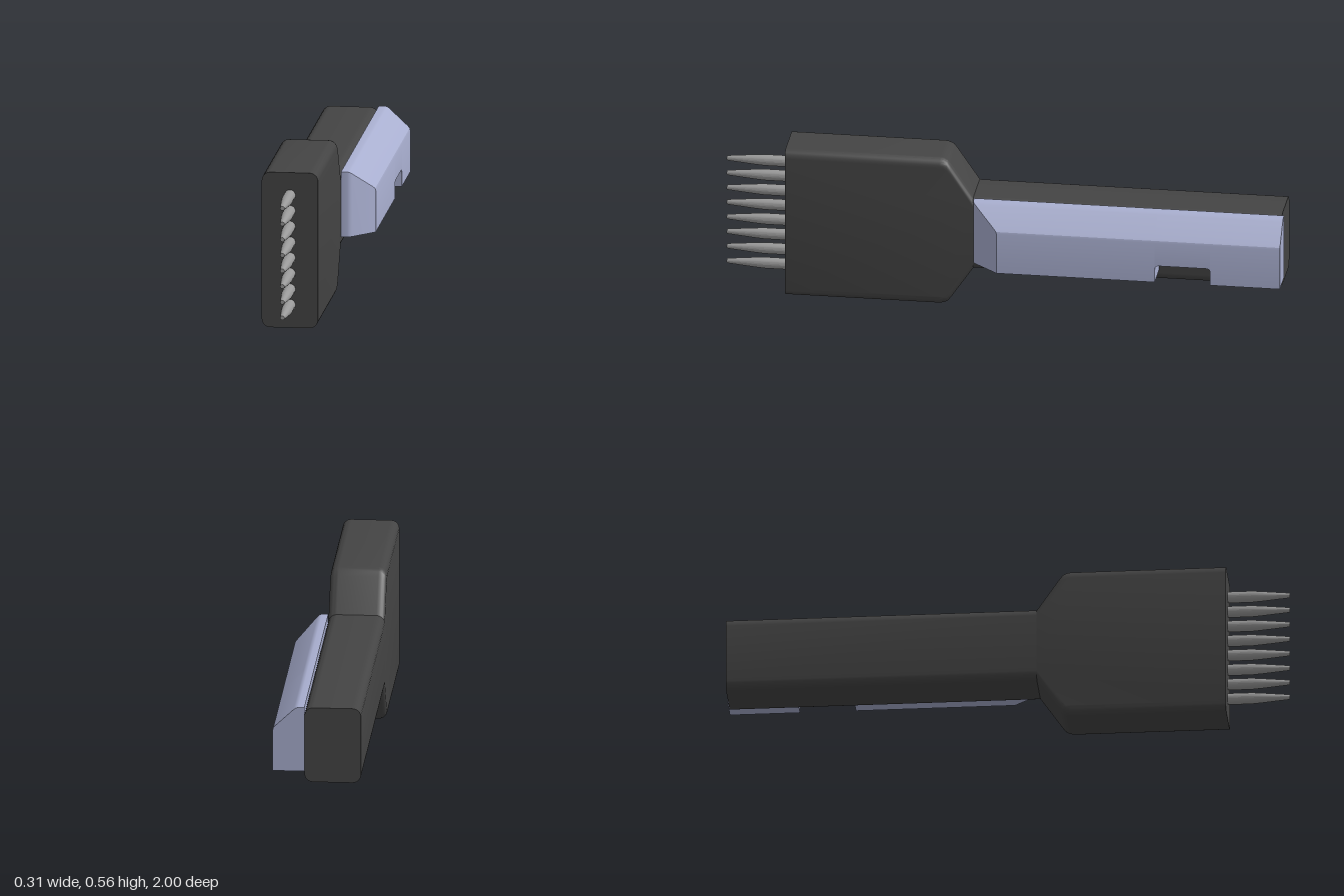
import * as THREE from 'three';
import { ConvexGeometry } from 'three/addons/geometries/ConvexGeometry.js';
import { toCreasedNormals } from 'three/addons/utils/BufferGeometryUtils.js';

const V = (x, y, z) => new THREE.Vector3(x, y, z);

// Convex solid through a set of points, smooth over rounds and sharp at edges
function hull(points) {
  return toCreasedNormals(new ConvexGeometry(points), 0.45);
}

// Rounded rectangle ring of the body at depth z, with half height h
function bodyRing(z, h) {
  const cx = -0.057, cy = 0.28, w = 0.1, r = 0.03, steps = 6, ring = [];
  for (const [sx, sy] of [[1, 1], [-1, 1], [-1, -1], [1, -1]]) {
    for (let i = 0; i <= steps; i++) {
      const a = (i / steps) * Math.PI / 2;
      ring.push(V(cx + sx * (w - r + r * Math.cos(a)), cy + sy * (h - r + r * Math.sin(a)), z));
    }
  }
  return ring;
}

// Top outline of the clip section, from the body outward
const clipTop = [[0.043, 0.42], [0.065, 0.42], [0.073, 0.418], [0.081, 0.412],
  [0.147, 0.35], [0.153, 0.343], [0.155, 0.335]];

// Clip section with its underside at height bottom; zAt gives the depth for each x
function clipRing(bottom, zAt) {
  return clipTop.flatMap(([x, y]) => [V(x, y, zAt(x)), V(x, bottom, zAt(x))]);
}

// Sloped, softly rounded front end of the clip
function clipFront(x) {
  const t = Math.max(0, x - 0.065);
  return 0.105 - (t < 0.017 ? t * t / 0.03 : 0.0085 + (t - 0.016) * 1.17);
}

export function createModel() {
  const model = new THREE.Group();
  const dark = new THREE.MeshStandardMaterial({ color: 0x444444 });
  const blue = new THREE.MeshStandardMaterial({ color: 0xa9afd0 });
  const metal = new THREE.MeshStandardMaterial({ color: 0x999999 });
  const add = (parent, name, geometry, material) => {
    const mesh = new THREE.Mesh(geometry, material);
    mesh.name = name;
    parent.add(mesh);
    return mesh;
  };

  // Wide head tapering into the handle
  const headProfile = [[0.78, 0.28], [0.23, 0.28], [0.215, 0.277], [0.202, 0.27], [0.19, 0.255], [0.11, 0.137]];
  add(model, 'head', hull(headProfile.flatMap(([z, h]) => bodyRing(z, h))), dark);
  add(model, 'handle', hull([...bodyRing(0.11, 0.137), ...bodyRing(-0.99, 0.137)]), dark);

  // Side clip, with a notch in its underside
  const clip = new THREE.Group();
  clip.name = 'sideClip';
  model.add(clip);
  const low = 0.185, notchTop = 0.248, z1 = -0.554, z2 = -0.752, end = -1;
  const segment = (name, bottom, zFront, zBack) =>
    add(clip, name, hull([...clipRing(bottom, zFront), ...clipRing(bottom, () => zBack)]), blue);
  segment('clipFront', low, clipFront, z1);
  segment('clipNotchBridge', notchTop, () => z1, z2);
  segment('clipBack', low, () => z2, end);

  // Rounded inner corners of the notch
  for (const [z, dir] of [[z1, 1], [z2, -1]]) {
    const r = 0.016;
    const s = new THREE.Shape();
    s.moveTo(-z, notchTop);
    s.lineTo(-z, notchTop - r);
    s.quadraticCurveTo(-z, notchTop, -z + dir * r, notchTop);
    s.closePath();
    const g = new THREE.ExtrudeGeometry(s, { depth: 0.112, bevelEnabled: false, curveSegments: 5 });
    const fillet = add(clip, 'notchFillet', g, blue);
    fillet.rotation.y = Math.PI / 2;
    fillet.position.x = 0.043;
  }

  // Row of tapered contact pins
  const pins = new THREE.Group();
  pins.name = 'pins';
  model.add(pins);
  const pinProfile = [[0.02, 0.77], [0.02, 0.865], [0.0175, 0.9], [0.009, 0.995], [0.0075, 1], [0, 1]]
    .map(([r, z]) => new THREE.Vector2(r, z));
  const pinGeometry = toCreasedNormals(new THREE.LatheGeometry(pinProfile, 24).rotateX(Math.PI / 2), 0.45);
  for (let i = 0; i < 8; i++) {
    add(pins, 'pin', pinGeometry, metal).position.set(-0.057, 0.0825 + i * 0.0565, 0);
  }

  return model;
}
